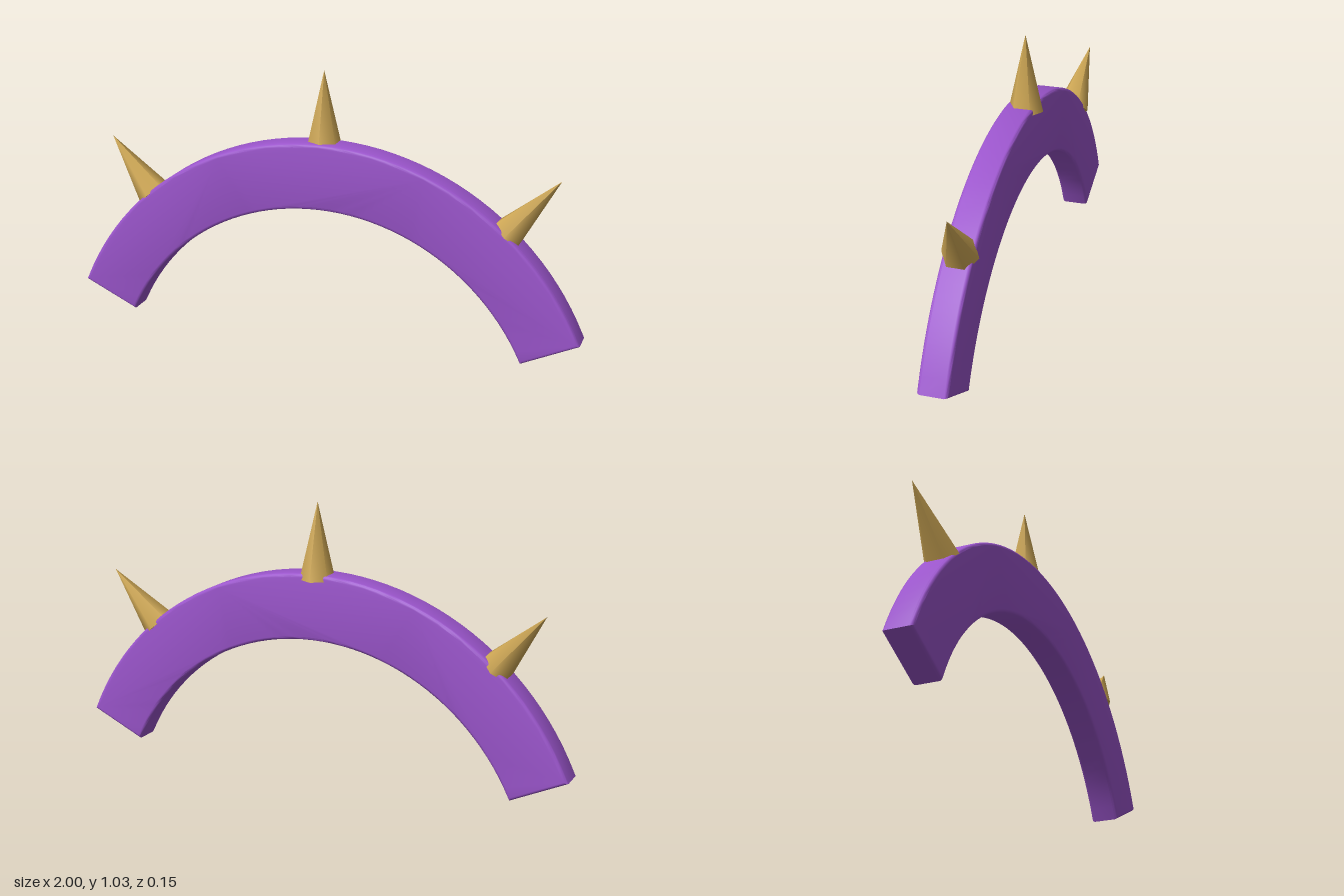
import * as THREE from 'three';
import { toCreasedNormals } from 'three/addons/utils/BufferGeometryUtils.js';

const purple = new THREE.MeshStandardMaterial({ color: 0x9b55cc });
purple.name = 'purple';
const gold = new THREE.MeshStandardMaterial({ color: 0xcfa855 });
gold.name = 'gold';

const rad = THREE.MathUtils.degToRad;
const BEVEL = 0.012;

// Curved band: two arcs joined at the ends, extruded with a rounded edge
function createBand() {
  const shape = new THREE.Shape();
  const outer = rad(23.8), inner = rad(25.25);
  shape.absarc(0, -0.328, 1.088 - BEVEL, outer, Math.PI - outer, false);
  shape.absarc(0, -0.357, 0.863 + BEVEL, Math.PI - inner, inner, true);
  const depth = 0.11 - 2 * BEVEL;
  const geometry = new THREE.ExtrudeGeometry(shape, {
    depth, curveSegments: 24, bevelEnabled: true,
    bevelSize: BEVEL, bevelThickness: BEVEL, bevelSegments: 3,
  });
  geometry.translate(0, 0, 0.007 - depth / 2);
  const band = new THREE.Mesh(toCreasedNormals(geometry, 0.6), purple);
  band.name = 'band';
  return band;
}

// Six-sided spike running from a base centre to its tip
function createSpike(name, base, tip) {
  const axis = tip.clone().sub(base);
  const height = axis.length();
  const geometry = new THREE.ConeGeometry(0.067, height, 6);
  geometry.translate(0, height / 2, 0);
  const spike = new THREE.Mesh(geometry, gold);
  spike.name = name;
  spike.position.copy(base);
  spike.quaternion.setFromUnitVectors(new THREE.Vector3(0, 1, 0), axis.normalize());
  return spike;
}

export function createModel() {
  const model = new THREE.Group();
  model.name = 'spikedHeadband';
  model.add(createBand());
  model.add(createSpike('middleSpike',
    new THREE.Vector3(0, 0.735, -0.008), new THREE.Vector3(0, 1.028, -0.006)));
  for (const [name, side] of [['leftSpike', 1], ['rightSpike', -1]]) {
    model.add(createSpike(name,
      new THREE.Vector3(side * 0.708, 0.481, 0.004),
      new THREE.Vector3(side * 0.892, 0.692, -0.02)));
  }
  return model;
}
